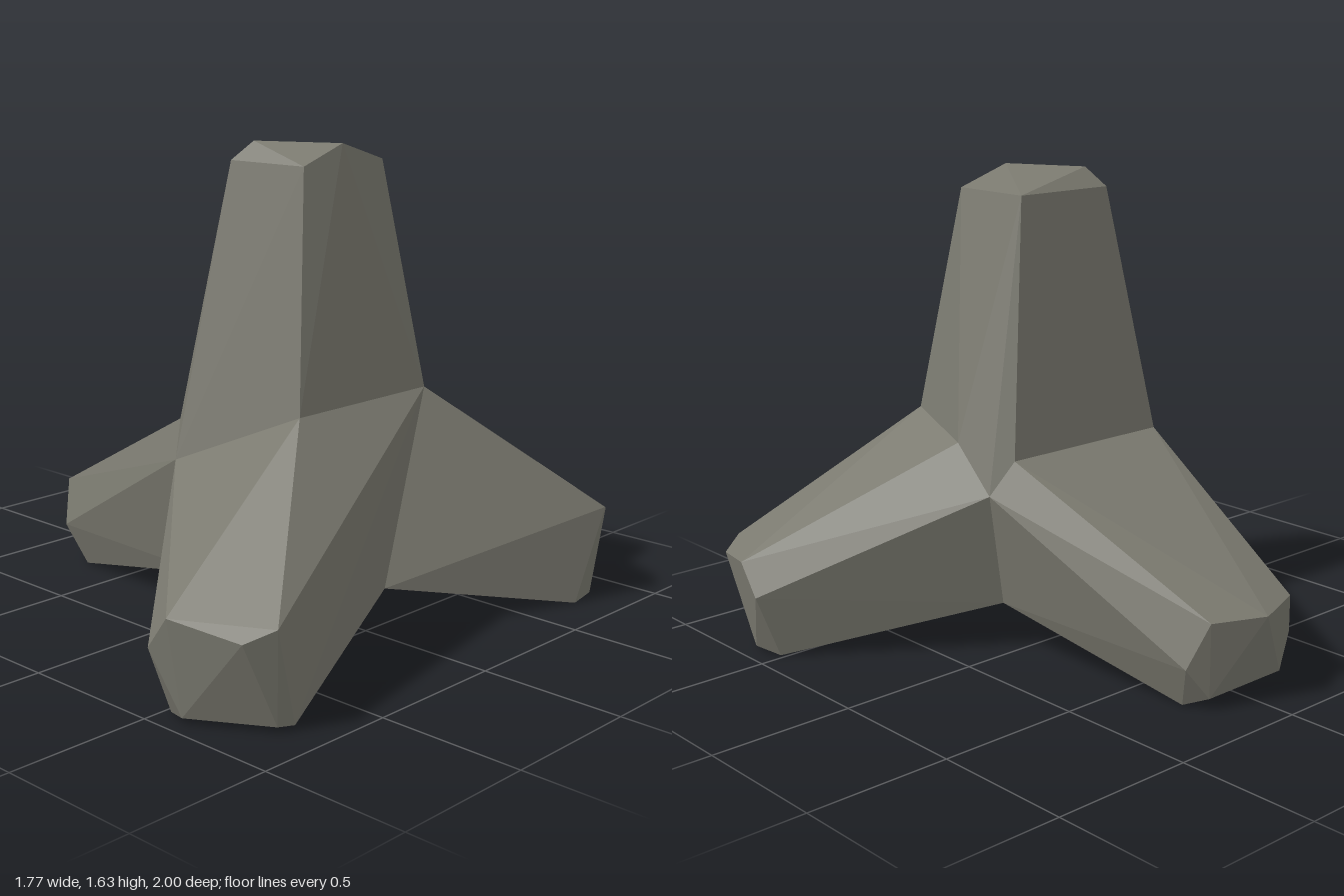
import * as THREE from 'three';
import { ConvexGeometry } from 'three/addons/geometries/ConvexGeometry.js';

const mirrorZ = ([x, y, z]) => [x, y, -z];
const bothSides = (points) => [...points, ...points.map(mirrorZ)];

export function createModel() {
  const group = new THREE.Group();
  group.name = 'concreteTetrapod';
  const concrete = new THREE.MeshStandardMaterial({ color: 0x7a796f, flatShading: true });
  concrete.name = 'weathered concrete';

  function addBlock(name, points) {
    const geometry = new ConvexGeometry(points.map((p) => new THREE.Vector3(...p)));
    const mesh = new THREE.Mesh(geometry, concrete);
    mesh.name = name;
    group.add(mesh);
  }

  // Corners where the four legs meet
  const shoulder = [0.48, 0.79, 0.31];
  const collar = [-0.05, 0.70, 0.33];
  const waist = [0, 0.58, 0.40];
  const crotch = [0.04, 0.17, 0.31];
  const sideCrotch = [0.58, 0.17, 0];
  const chip = [0.15, 0.74, -0.41];

  // Core
  addBlock('core', [...bothSides([shoulder, collar, waist, crotch]), sideCrotch, chip]);

  // Upright leg with a chipped top
  addBlock('uprightLeg', [
    ...bothSides([shoulder, collar, waist, [0.06, 1.565, 0.195], [0.38, 1.565, 0.19]]),
    chip, [0.13, 1.63, 0.16], [0.40, 1.63, 0.03],
  ]);

  // Leg along -x
  addBlock('sideLeg', [
    ...bothSides([
      collar, waist, crotch,
      [-0.82, 0.305, 0.19], [-0.77, 0.15, 0.25], [-0.80, 0.04, 0.17], [-0.71, 0, 0.20],
    ]),
    [-0.89, 0.30, 0],
  ]);

  // Two mirrored legs, front and back
  const tip = [
    [0.60, 0.34, 1.0], [0.52, 0.23, 1.0], [0.83, 0.30, 0.92], [0.885, 0.335, 0.83],
    [0.52, 0, 0.91], [0.61, 0.02, 0.95], [0.855, 0.02, 0.80], [0.85, 0, 0.72],
  ];
  const root = [shoulder, waist, crotch, sideCrotch];
  addBlock('frontLeg', [...root, ...tip, mirrorZ(shoulder)]);
  addBlock('backLeg', [...[...root, ...tip].map(mirrorZ), chip]);

  return group;
}
